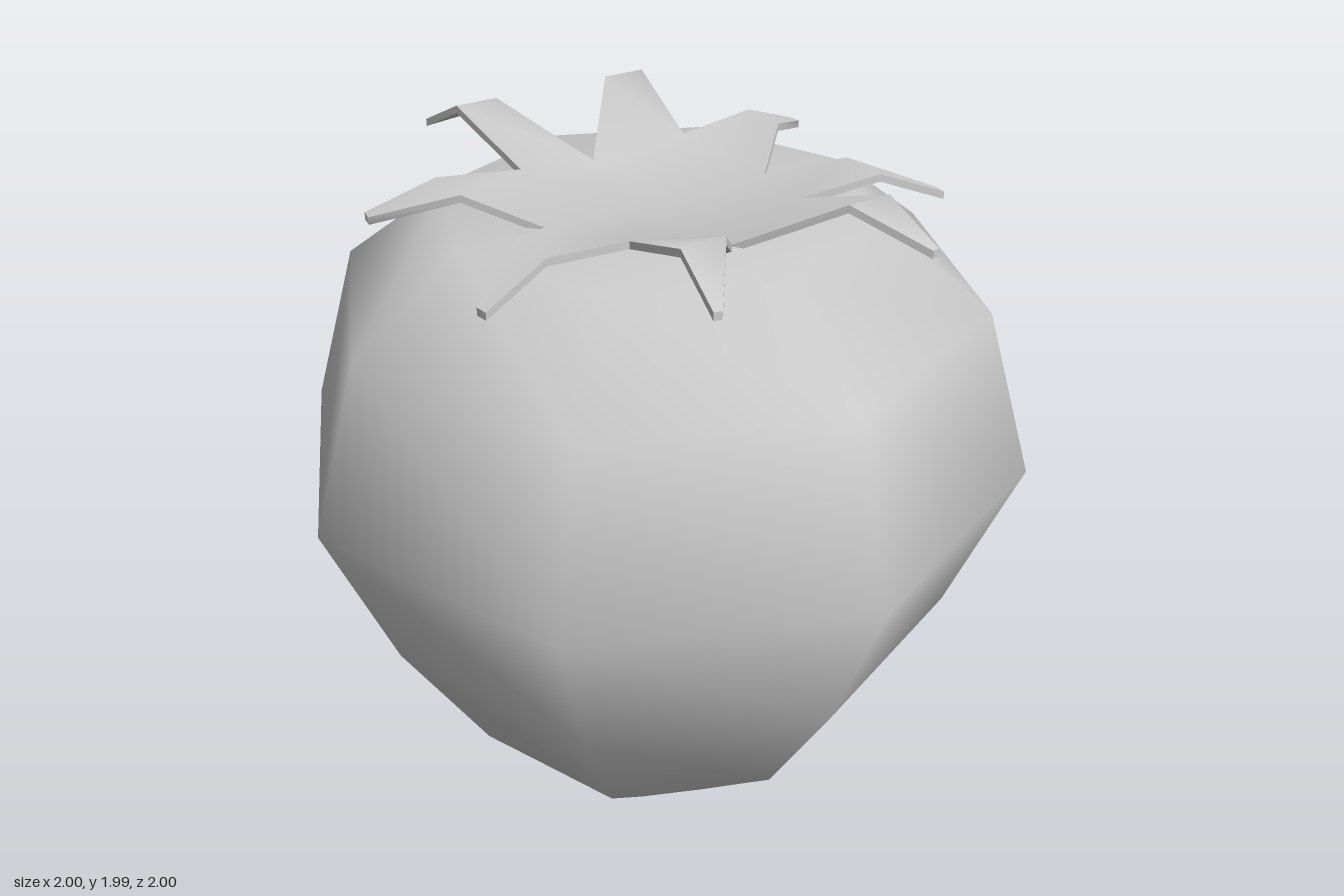
import * as THREE from 'three';
import { toCreasedNormals } from 'three/addons/utils/BufferGeometryUtils.js';

const material = new THREE.MeshStandardMaterial({ color: 0xcccccc });

// Eight-sided fruit body, smooth shaded, closed at both ends
function createBody() {
  const profile = [
    [0, 0], [0.23, 0], [0.58, 0.32], [0.82, 0.72], [1, 1.17],
    [0.86, 1.62], [0.57, 1.84], [0, 1.84],
  ].map(([r, y]) => new THREE.Vector2(r, y));
  const body = new THREE.Mesh(new THREE.LatheGeometry(profile, 8), material);
  body.name = 'fruitBody';
  return body;
}

// One quarter of the leaf crown: outline from the centre, round two folded leaves
const QUARTER = [
  [0, 1.845, 0], [0, 1.845, 0.33],
  [0.17, 1.985, 0.55], [0.29, 1.905, 0.715], [0.31, 1.905, 0.71], [0.29, 1.985, 0.55],
  [0.25, 1.89, 0.27],
  [0.48, 1.91, 0.29], [0.66, 1.84, 0.335], [0.665, 1.84, 0.3], [0.48, 1.91, 0.15],
  [0.33, 1.845, 0],
];
const FACES = [
  [0, 1, 6], [1, 2, 5, 6], [2, 3, 4, 5],
  [0, 6, 11], [6, 7, 10, 11], [7, 8, 9, 10],
];
const THICKNESS = 0.02;

function createCrown() {
  const positions = [];
  const addPolygon = (points, flip) => {
    const p = flip ? [...points].reverse() : points;
    for (let i = 1; i < p.length - 1; i++) positions.push(...p[0], ...p[i], ...p[i + 1]);
  };
  for (const sx of [1, -1]) {
    for (const sz of [1, -1]) {
      const flip = sx * sz < 0;
      const top = QUARTER.map(([x, y, z]) => [x * sx, y, z * sz]);
      const under = top.map(([x, y, z]) => [x, y - THICKNESS, z]);
      for (const face of FACES) {
        addPolygon(face.map((i) => top[i]), flip);
        addPolygon(face.map((i) => under[i]), !flip);
      }
      // Thin rim along the free edge
      for (let i = 1; i < top.length - 1; i++) {
        addPolygon([top[i], under[i], under[i + 1], top[i + 1]], flip);
      }
    }
  }
  const geometry = new THREE.BufferGeometry();
  geometry.setAttribute('position', new THREE.Float32BufferAttribute(positions, 3));
  const crown = new THREE.Mesh(toCreasedNormals(geometry, 1.1), material);
  crown.name = 'leafCrown';
  return crown;
}

export function createModel() {
  const model = new THREE.Group();
  model.name = 'strawberry';
  model.add(createBody(), createCrown());
  return model;
}
